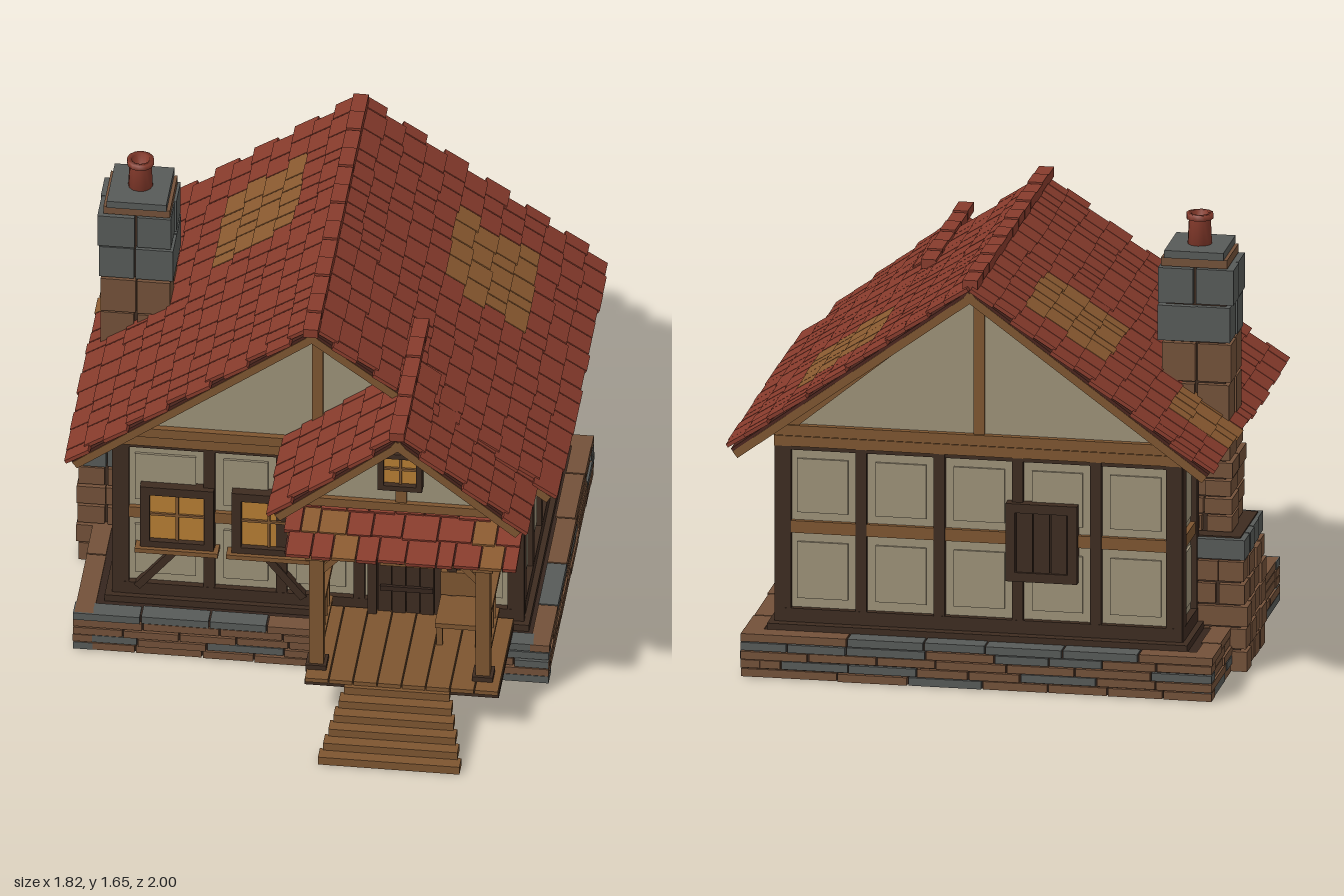
import * as THREE from 'three';
import { mergeGeometries } from 'three/addons/utils/BufferGeometryUtils.js';

const DARK = 0x3d2b20, WOOD = 0x7d5530, CREAM = 0x9c9178, TILE = 0x873b2c, MOSS = 0x8a5a30,
  BROWN = 0x735139, GREY = 0x575a58, GLOW = 0xb57d33, UNDER = 0x4a241c, FLOOR = 0x35251d;

let seed = 7;
const rnd = () => (seed = (seed * 16807) % 2147483647) / 2147483647;
const span = (a, b) => a + (b - a) * rnd();

// Collects shapes for a named part, then merges them into one mesh per colour
class Part {
  constructor(name) { this.name = name; this.lists = new Map(); }
  add(color, geo) {
    if (!this.lists.has(color)) this.lists.set(color, []);
    this.lists.get(color).push(geo.index ? geo.toNonIndexed() : geo);
  }
  box(color, w, h, d, x, y, z, rz = 0, rx = 0) {
    this.add(color, new THREE.BoxGeometry(w, h, d).rotateX(rx).rotateZ(rz).translate(x, y, z));
  }
  // Box given by its limits
  span(color, x0, x1, y0, y1, z0, z1) {
    this.box(color, x1 - x0, y1 - y0, z1 - z0, (x0 + x1) / 2, (y0 + y1) / 2, (z0 + z1) / 2);
  }
  // Beam between two points in an upright plane facing z
  beam(color, x0, y0, x1, y1, z, w, d) {
    this.box(color, Math.hypot(x1 - x0, y1 - y0), w, d, (x0 + x1) / 2, (y0 + y1) / 2, z, Math.atan2(y1 - y0, x1 - x0));
  }
  build(parent) {
    const g = new THREE.Group();
    g.name = this.name;
    for (const [color, list] of this.lists) {
      const m = new THREE.Mesh(mergeGeometries(list), new THREE.MeshStandardMaterial({ color }));
      m.name = this.name;
      g.add(m);
    }
    parent.add(g);
    return g;
  }
}

// Framed window on a wall facing local z
function addWindow(p, x, y, w, h, z = 0, pane = GLOW) {
  const t = w * 0.13;
  p.box(pane, w - t, h - t, 0.02, x, y, z + 0.012);
  for (const s of [-1, 1]) {
    p.box(DARK, t, h, 0.045, x + s * (w - t) / 2, y, z + 0.022);
    p.box(DARK, w, t, 0.045, x, y + s * (h - t) / 2, z + 0.022);
  }
  if (pane !== GLOW) {
    for (let i = -1; i <= 1; i++) p.box(DARK, w * 0.22, h - t, 0.02, x + i * w * 0.24, y, z + 0.025);
    return;
  }
  p.box(WOOD, 0.01, h - t, 0.012, x, y, z + 0.024);
  p.box(WOOD, w - t, 0.01, 0.012, x, y + h * 0.03, z + 0.024);
}

// Timber-framed wall: posts, rails and raised plaster panels
function wall(parent, name, x, z, ry, posts, extra, skipBay = -1) {
  const p = new Part(name), a = posts[0], b = posts[posts.length - 1];
  posts.forEach((px, i) => {
    const w = i === 0 || i === posts.length - 1 ? 0.06 : 0.04;
    p.box(DARK, w, 0.67, 0.03, px, 0.515, 0.008);
    if (i === 0 || i - 1 === skipBay) return;
    const q = posts[i - 1], pw = px - q - 0.1;
    for (const [y0, y1] of [[0.27, 0.48], [0.59, 0.79]]) p.span(CREAM, px - pw - 0.05, px - 0.05, y0, y1, -0.01, 0.009);
  });
  p.span(DARK, a, b, 0.18, 0.235, -0.01, 0.024);
  p.span(WOOD, a, b, 0.515, 0.56, -0.01, 0.018);
  p.span(DARK, a, b, 0.825, 0.85, -0.01, 0.02);
  p.span(WOOD, a - 0.03, b + 0.03, 0.84, 0.878, -0.02, 0.028);
  p.span(WOOD, a - 0.04, b + 0.04, 0.882, 0.92, -0.02, 0.034);
  if (extra) extra(p);
  const g = p.build(parent);
  g.position.set(x, 0, z);
  g.rotation.y = ry;
}

// One tiled slope; s = +1 falls to +x, -1 to -x
function slope(parent, name, ax, ay, run, tan, z0, z1, rows, s, patches = []) {
  const p = new Part(name), a = Math.atan(tan), len = run / Math.cos(a), step = len / rows;
  const put = (c, t, h, l, th, w, z, tilt = 0) => p.box(c, l, th, w,
    ax + s * (t * Math.cos(a) + h * Math.sin(a)), ay - t * Math.sin(a) + h * Math.cos(a), z, -s * (a - tilt));
  put(UNDER, len / 2, -0.008, len, 0.016, z1 - z0 - 0.06, (z0 + z1) / 2);
  for (const z of [z0 + 0.04, z1 - 0.04]) put(WOOD, len / 2, -0.026, len, 0.03, 0.025, z);
  put(WOOD, len - 0.012, -0.02, 0.025, 0.035, z1 - z0 - 0.07, (z0 + z1) / 2);
  for (let r = 0; r < rows; r++) {
    let z = z0 + (r % 2) * 0.035;
    const end = z1 - ((r + 1) % 2) * 0.035;
    while (z < end - 0.005) {
      let w = span(0.06, 0.13);
      if (end - z - w < 0.05) w = end - z;
      const t = (r + 0.5) * step, x = ax + s * t * Math.cos(a), zc = z + w / 2;
      const mossy = patches.some(q => x > q[0] && x < q[1] && zc > q[2] && zc < q[3]);
      put(mossy ? MOSS : TILE, t + span(0, 0.014), 0.012, step * 1.12, 0.014, w - 0.005, zc, 0.07);
      z += w;
    }
  }
  p.build(parent);
}

function ridge(parent, name, x, y, z0, z1, n) {
  const p = new Part(name), l = (z1 - z0) / n;
  for (let i = 0; i < n; i++) p.box(TILE, 0.055, 0.035, l - 0.006, x, y + (i % 2) * 0.005, z0 + (i + 0.5) * l);
  p.build(parent);
}

// Plaster triangle with timber edges and king post
function gable(parent, name, x, half, y0, y1, z, dir, extra) {
  const p = new Part(name);
  const tri = new THREE.Shape([[-half, y0], [half, y0], [0, y1]].map(v => new THREE.Vector2(...v)));
  p.add(CREAM, new THREE.ExtrudeGeometry(tri, { depth: 0.03, bevelEnabled: false }).translate(x, 0, z - 0.015));
  const f = z + dir * 0.015;
  for (const s of [-1, 1]) p.beam(WOOD, x + s * half, y0 + 0.005, x, y1 - 0.005, f, 0.035, 0.03);
  p.span(WOOD, x - 0.02, x + 0.02, y0, y1, f - 0.012, f + 0.012);
  p.span(WOOD, x - half - 0.02, x + half + 0.02, y0 - 0.005, y0 + 0.03, f - 0.02, f + 0.02);
  if (extra) extra(p);
  p.build(parent);
}

export function createModel() {
  const house = new THREE.Group();
  house.name = 'cottage';

  // Stone foundation in five courses
  const base = new Part('foundation');
  base.span(FLOOR, -0.83, 0.85, 0.002, 0.158, -0.885, 0.39);
  base.span(DARK, -0.745, 0.785, 0.15, 0.185, -0.83, 0.315);
  for (let r = 0; r < 5; r++) {
    const y = 0.0165 + r * 0.033;
    const course = (a, b, place) => {
      for (let u = a; u < b - 0.01;) {
        let l = span(0.18, 0.29);
        if (b - u - l < 0.12) l = b - u;
        place(rnd() < 0.25 ? GREY : BROWN, u + l / 2, l - 0.006, span(0, 0.01));
        u += l;
      }
    };
    for (const s of [-1, 1]) {
      course(-0.85, 0.87, (c, u, l, j) => base.box(c, l, 0.029, 0.07, u, y, -0.2475 + s * (0.6225 - j)));
      course(-0.9, 0.405, (c, u, l, j) => base.box(c, 0.07, 0.029, l, 0.01 + s * (0.825 - j), y, u));
    }
  }
  base.build(house);

  // House body and its four timbered walls
  const body = new Part('plasterWalls');
  body.span(CREAM, -0.7, 0.74, 0.17, 0.9, -0.77, 0.27);
  body.build(house);
  wall(house, 'frontWall', 0, 0.27, 0, [-0.69, -0.37, -0.11, 0.17, 0.55, 0.735], p => {
    for (const x of [-0.485, -0.155]) {
      addWindow(p, x, 0.535, 0.265, 0.27);
      p.box(WOOD, 0.3, 0.018, 0.06, x, 0.4, 0.03);
    }
    p.beam(DARK, -0.63, 0.22, -0.49, 0.39, 0.015, 0.028, 0.03);
    p.beam(DARK, -0.165, 0.39, -0.03, 0.22, 0.015, 0.028, 0.03);
  }, 3);
  const side = [-0.245, 0, 0.25, 0.51, 0.76];
  wall(house, 'leftWall', 0.74, 0, Math.PI / 2, side, p => addWindow(p, 0.395, 0.535, 0.255, 0.275));
  wall(house, 'rightWall', -0.7, 0, -Math.PI / 2, side.map(v => -v).reverse());
  wall(house, 'backWall', 0, -0.77, Math.PI, [-0.735, -0.45, -0.165, 0.12, 0.405, 0.69],
    p => addWindow(p, 0.21, 0.53, 0.26, 0.29, 0, DARK));

  // Plank door with frame and hinges
  const door = new Part('door');
  for (let i = 0; i < 5; i++) door.box(DARK, 0.048, 0.45, 0.03, 0.265 + i * 0.051, 0.425, 0.297 + (i % 2) * 0.004);
  for (const x of [0.222, 0.51]) door.box(DARK, 0.032, 0.5, 0.07, x, 0.445, 0.3);
  door.box(DARK, 0.32, 0.035, 0.07, 0.366, 0.672, 0.3);
  for (const y of [0.31, 0.42, 0.56]) door.box(y === 0.42 ? WOOD : FLOOR, 0.19, 0.02, 0.012, 0.345, y, 0.32);
  door.box(WOOD, 0.018, 0.04, 0.025, 0.465, 0.45, 0.325);
  door.build(house);

  // Gables
  gable(house, 'frontGable', 0.02, 0.72, 0.885, 1.485, 0.265, 1);
  gable(house, 'backGable', 0.02, 0.72, 0.885, 1.485, -0.765, -1);
  gable(house, 'porchGable', 0.365, 0.4, 0.89, 1.245, 0.615, 1, p => {
    addWindow(p, 0.365, 1.075, 0.16, 0.16, 0.635);
    for (const s of [-1, 1]) p.span(WOOD, 0.35 + s * 0.36, 0.38 + s * 0.36, 0.885, 0.915, 0.29, 0.63);
  });

  // Tiled roofs
  slope(house, 'mainRoofLeft', 0.02, 1.51, 0.87, 0.735, -1, 0.49, 12, 1, [[0.4, 0.68, -0.75, -0.32]]);
  slope(house, 'mainRoofRight', 0.02, 1.51, 0.87, 0.735, -1, 0.49, 12, -1,
    [[-0.39, -0.16, -0.73, -0.33], [-0.86, -0.6, -0.73, -0.4]]);
  ridge(house, 'mainRidge', 0.02, 1.528, -0.97, 0.5, 13);
  slope(house, 'porchRoofLeft', 0.365, 1.265, 0.45, 0.8, 0.25, 0.77, 6, 1);
  slope(house, 'porchRoofRight', 0.365, 1.265, 0.45, 0.8, 0.25, 0.77, 6, -1);
  ridge(house, 'porchRidge', 0.365, 1.292, 0.045, 0.775, 6);

  // Lean-to canopy over the porch
  const canopy = new Part('canopy'), tilt = 0.235;
  canopy.box(UNDER, 0.82, 0.014, 0.45, 0.365, 0.77, 0.5, 0, tilt);
  for (let i = 0; i < 5; i++) canopy.box(WOOD, 0.025, 0.022, 0.44, -0.02 + i * 0.1925, 0.754, 0.495, 0, tilt);
  for (let r = 0; r < 4; r++) {
    for (let x = -0.06 + (r % 2) * 0.02; x < 0.77;) {
      const w = Math.min(span(0.06, 0.13), 0.795 - x), z = 0.345 + r * 0.113;
      canopy.box(rnd() < 0.08 ? MOSS : TILE, w - 0.005, 0.014, 0.125, x + w / 2,
        0.783 - (z - 0.5) * Math.tan(tilt), z + span(0, 0.012), 0, tilt - 0.06);
      x += w;
    }
  }
  canopy.build(house);

  // Porch deck, posts, braces and railings
  const porch = new Part('porch');
  porch.span(DARK, 0.03, 0.73, 0.165, 0.186, 0.3, 0.745);
  for (let i = 0; i < 8; i++) porch.box(WOOD, 0.083, 0.016, 0.455, 0.074 + i * 0.0875, 0.193, 0.53);
  porch.span(WOOD, 0.02, 0.71, 0.695, 0.73, 0.64, 0.69);
  for (const s of [-1, 1]) {
    const x = 0.365 + s * 0.3;
    porch.box(WOOD, 0.052, 0.53, 0.052, x, 0.455, 0.665);
    porch.box(DARK, 0.075, 0.03, 0.075, x, 0.205, 0.665);
    porch.box(WOOD, 0.075, 0.025, 0.07, x, 0.69, 0.665);
    porch.beam(WOOD, x, 0.6, x - s * 0.09, 0.7, 0.665, 0.025, 0.025);
    porch.box(WOOD, 0.03, 0.02, 0.35, x, 0.4, 0.475);
    porch.box(WOOD, 0.025, 0.018, 0.35, x, 0.235, 0.475);
    for (const z of [0.36, 0.42, 0.48, 0.55, 0.61]) porch.box(WOOD, 0.014, 0.19, 0.014, x, 0.31, z);
  }
  porch.build(house);

  // Bench beside the door
  const bench = new Part('bench');
  bench.span(WOOD, 0.47, 0.64, 0.285, 0.305, 0.33, 0.51);
  bench.span(WOOD, 0.47, 0.64, 0.31, 0.41, 0.32, 0.338);
  for (const x of [0.485, 0.625]) for (const z of [0.35, 0.485]) bench.box(WOOD, 0.022, 0.09, 0.022, x, 0.245, z);
  bench.build(house);

  // Lantern on the porch post
  const lantern = new Part('lantern');
  lantern.box(GLOW, 0.026, 0.05, 0.026, 0.665, 0.615, 0.612);
  for (const y of [0.585, 0.65]) lantern.box(DARK, 0.04, 0.014, 0.04, 0.665, y, 0.612);
  for (const s of [-1, 1]) for (const t of [-1, 1]) lantern.box(DARK, 0.007, 0.06, 0.007, 0.665 + s * 0.014, 0.617, 0.612 + t * 0.014);
  lantern.build(house);

  // Open steps, wider towards the ground
  const steps = new Part('steps');
  for (let i = 0; i < 6; i++) steps.box(WOOD, 0.51 - i * 0.026, 0.032, 0.056, 0.365, 0.016 + i * 0.0305, 0.972 - i * 0.0455);
  steps.build(house);

  // Chimney built of rough blocks: wide foot, narrower middle, stack
  const chimney = new Part('chimney');
  const courses = (y0, y1, n, x0, x1, z0, z1, nz, colorAt) => {
    chimney.span(DARK, x0 + 0.025, x1 - 0.025, y0, y1, z0 + 0.025, z1 - 0.025);
    const h = (y1 - y0) / n, dx = (x1 - x0) / 2, dz = (z1 - z0) / nz;
    for (let r = 0; r < n; r++) for (let i = 0; i < 2; i++) for (let k = 0; k < nz; k++)
      chimney.box(colorAt(r), dx - 0.008 + span(-0.008, 0.012), h - 0.01, dz - 0.008 + span(-0.008, 0.012),
        x0 + (i + 0.5) * dx + span(-0.006, 0.006), y0 + (r + 0.5) * h, z0 + (k + 0.5) * dz);
  };
  courses(0, 0.5, 6, -0.9, -0.69, -0.52, -0.135, 4, r => (r === 5 ? GREY : BROWN));
  courses(0.5, 0.9, 6, -0.835, -0.64, -0.46, -0.19, 2, () => BROWN);
  courses(0.9, 1.2, 2, -0.83, -0.57, -0.44, -0.21, 2, () => BROWN);
  courses(1.2, 1.48, 2, -0.835, -0.565, -0.445, -0.205, 2, () => GREY);
  chimney.box(BROWN, 0.24, 0.032, 0.22, -0.695, 1.495, -0.325);
  chimney.box(GREY, 0.215, 0.028, 0.235, -0.695, 1.525, -0.325);
  const pot = [[0, 1.53], [0.045, 1.53], [0.04, 1.63], [0.049, 1.632], [0.049, 1.652], [0.032, 1.652], [0.03, 1.6], [0, 1.6]];
  chimney.add(TILE, new THREE.LatheGeometry(pot.map(v => new THREE.Vector2(...v)), 12).translate(-0.695, 0, -0.325));
  chimney.build(house);

  return house;
}
